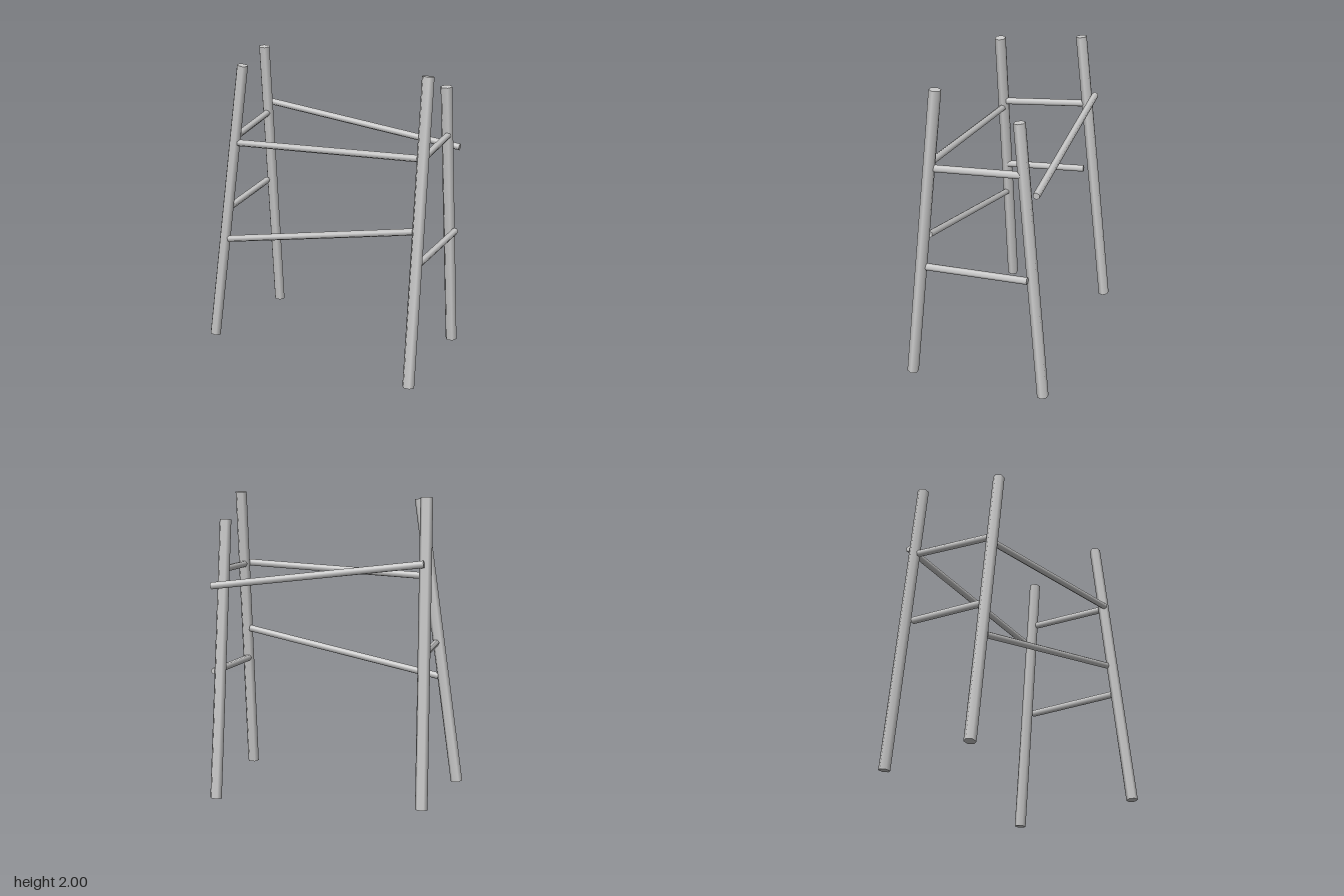
import * as THREE from 'three';

const material = new THREE.MeshStandardMaterial({ color: 0xcccccc });
const UP = new THREE.Vector3(0, 1, 0);

// Six-sided pole running from one point to another
function pole(name, from, to, radius, depth = 1) {
  const a = new THREE.Vector3(...from);
  const b = new THREE.Vector3(...to);
  const dir = b.clone().sub(a);
  const geometry = new THREE.CylinderGeometry(radius, radius, dir.length(), 6, 1, false, Math.PI / 2);
  geometry.scale(1, 1, depth);
  const mesh = new THREE.Mesh(geometry, material);
  mesh.name = name;
  mesh.position.copy(a).add(b).multiplyScalar(0.5);
  mesh.quaternion.setFromUnitVectors(UP, dir.normalize());
  return mesh;
}

export function createModel() {
  const model = new THREE.Group();
  model.name = 'poleFrame';

  // Leaning legs, bottom to top
  const legs = [
    ['frontRightLeg', [-0.765, 0.035, 0.288], [-0.495, 1.957, 0.285]],
    ['frontLeftLeg', [0.762, 0.042, 0.458], [0.757, 1.997, 0.245]],
    ['backRightLeg', [-0.66, 0.038, -0.455], [-0.634, 1.977, -0.245]],
    ['backLeftLeg', [0.722, 0.003, -0.42], [0.69, 1.828, -0.25]],
  ];
  for (const [name, from, to] of legs) model.add(pole(name, from, to, 0.04, 0.93));

  // Thin rungs lashed between the legs
  const rungs = [
    ['frontUpperRung', [-0.54, 1.44, 0.287], [0.735, 1.505, 0.32]],
    ['frontLowerRung', [-0.63, 0.76, 0.293], [0.73, 1.037, 0.325]],
    ['backRung', [-0.64, 1.57, -0.35], [0.75, 1.404, -0.375]],
    ['rightUpperRung', [-0.637, 1.505, -0.28], [-0.55, 1.49, 0.26]],
    ['rightLowerRung', [-0.65, 1.012, -0.28], [-0.615, 0.99, 0.28]],
    ['leftUpperRung', [0.705, 1.505, -0.28], [0.75, 1.495, 0.27]],
    ['leftLowerRung', [0.757, 0.835, -0.325], [0.752, 0.82, 0.345]],
  ];
  for (const [name, from, to] of rungs) model.add(pole(name, from, to, 0.023));

  return model;
}
